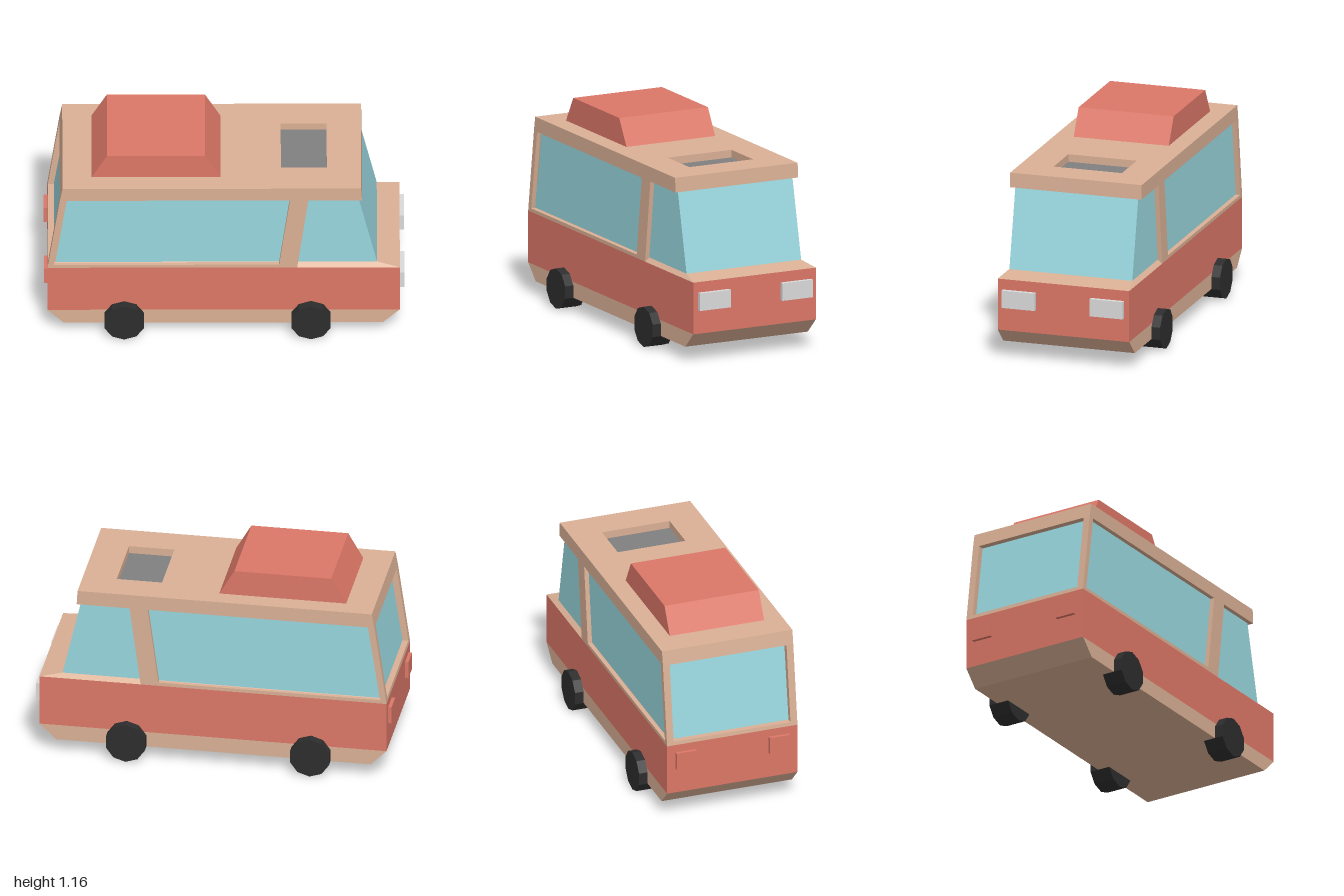
import * as THREE from 'three';

const paint = (name, color) => {
  const m = new THREE.MeshStandardMaterial({ color });
  m.name = name;
  return m;
};

export function createModel() {
  const van = new THREE.Group();
  van.name = 'van';
  const tan = paint('tan', 0xdab095);
  const red = paint('red', 0xdc7767);
  const glass = paint('glass', 0x99d7df);
  const black = paint('tyre black', 0x2d2d2d);
  const silver = paint('lamp silver', 0xdadada);
  const grey = paint('sunroof grey', 0x808080);

  const add = (name, geometry, material) => {
    const mesh = new THREE.Mesh(geometry, material);
    mesh.name = name;
    van.add(mesh);
    return mesh;
  };
  // side profile (x, y) extruded from z0 to z1
  const prism = (name, points, z0, z1, material) => {
    const shape = new THREE.Shape(points.map(([x, y]) => new THREE.Vector2(x, y)));
    const g = new THREE.ExtrudeGeometry(shape, { depth: z1 - z0, bevelEnabled: false });
    return add(name, g.translate(0, 0, z0), material);
  };
  const box = (name, x0, x1, y0, y1, z0, z1, material) =>
    add(name, new THREE.BoxGeometry(x1 - x0, y1 - y0, z1 - z0)
      .translate((x0 + x1) / 2, (y0 + y1) / 2, (z0 + z1) / 2), material);

  const W = 0.385;      // half width of the body
  const WG = 0.36;      // half width of the glazing

  // lower body
  prism('skirt', [[-0.89, 0.08], [0.88, 0.08], [0.975, 0.17], [-0.98, 0.17]], -W, W, tan);
  box('lowerBody', -0.98, 0.975, 0.17, 0.465, -W, W, red);

  // sill and short bonnet, tapering in towards the glass
  const sill = new THREE.BoxGeometry(1, 1, 1);
  const p = sill.attributes.position;
  for (let i = 0; i < p.count; i++) {
    const top = p.getY(i) > 0;
    p.setXYZ(i, p.getX(i) > 0 ? (top ? 0.85 : 0.975) : (top ? -0.977 : -0.98),
      top ? 0.487 : 0.465, Math.sign(p.getZ(i)) * (top ? WG : W));
  }
  const sillGeometry = sill.toNonIndexed();
  sillGeometry.computeVertexNormals();
  add('sill', sillGeometry, tan);

  // glazed cabin
  prism('windows', [[-0.945, 0.48], [0.85, 0.48], [0.745, 0.935], [-0.875, 0.935]], -WG, WG, glass);

  // window frames with rear posts and sheared pillar, on both sides
  const frame = [[-0.98, 0.465], [0.405, 0.465], [0.467, 0.935], [0.365, 0.935],
    [0.305, 0.485], [-0.945, 0.485], [-0.875, 0.935], [-0.912, 0.935]];
  const post = [[-0.98, 0.465], [-0.94, 0.465], [-0.87, 0.935], [-0.912, 0.935]];
  prism('leftFrame', frame, WG, W, tan);
  prism('rightFrame', frame, -W, -WG, tan);
  prism('leftRearPost', post, 0.345, WG, tan);
  prism('rightRearPost', post, -WG, -0.345, tan);

  // roof around the sunroof opening
  const y0 = 0.935, y1 = 1.018;
  prism('roofRear', [[-0.912, y0], [0.315, y0], [0.315, y1], [-0.897, y1]], -W, W, tan);
  prism('roofFront', [[0.57, y0], [0.765, y0], [0.76, y1], [0.57, y1]], -W, W, tan);
  box('roofRight', 0.315, 0.57, y0, y1, -W, -0.205, tan);
  box('roofLeft', 0.315, 0.57, y0, y1, 0.195, W, tan);
  box('sunroof', 0.315, 0.57, 0.967, 0.975, -0.205, 0.195, grey);

  // raised roof box
  prism('roofBox', [[-0.735, y1], [-0.02, y1], [-0.105, 1.165], [-0.65, 1.165]], -0.28, 0.277, red);

  // lamps and wheels
  for (const s of [-1, 1]) {
    const side = s > 0 ? 'left' : 'right';
    const span = (a, b) => (s > 0 ? [a, b] : [-b, -a]);
    box(side + 'Headlamp', 0.97, 1, 0.305, 0.405, ...span(0.162, 0.355), silver);
    box(side + 'TailLamp', -1, -0.975, 0.32, 0.42, ...span(0.215, 0.335), red);
    for (const [end, x] of [['Rear', -0.555], ['Front', 0.482]]) {
      const wheel = new THREE.CylinderGeometry(0.115, 0.115, 0.123, 10).toNonIndexed();
      wheel.computeVertexNormals();
      add(side + end + 'Wheel', wheel.rotateX(Math.PI / 2).translate(x, 0.115, s * 0.3745), black);
    }
  }
  return van;
}
